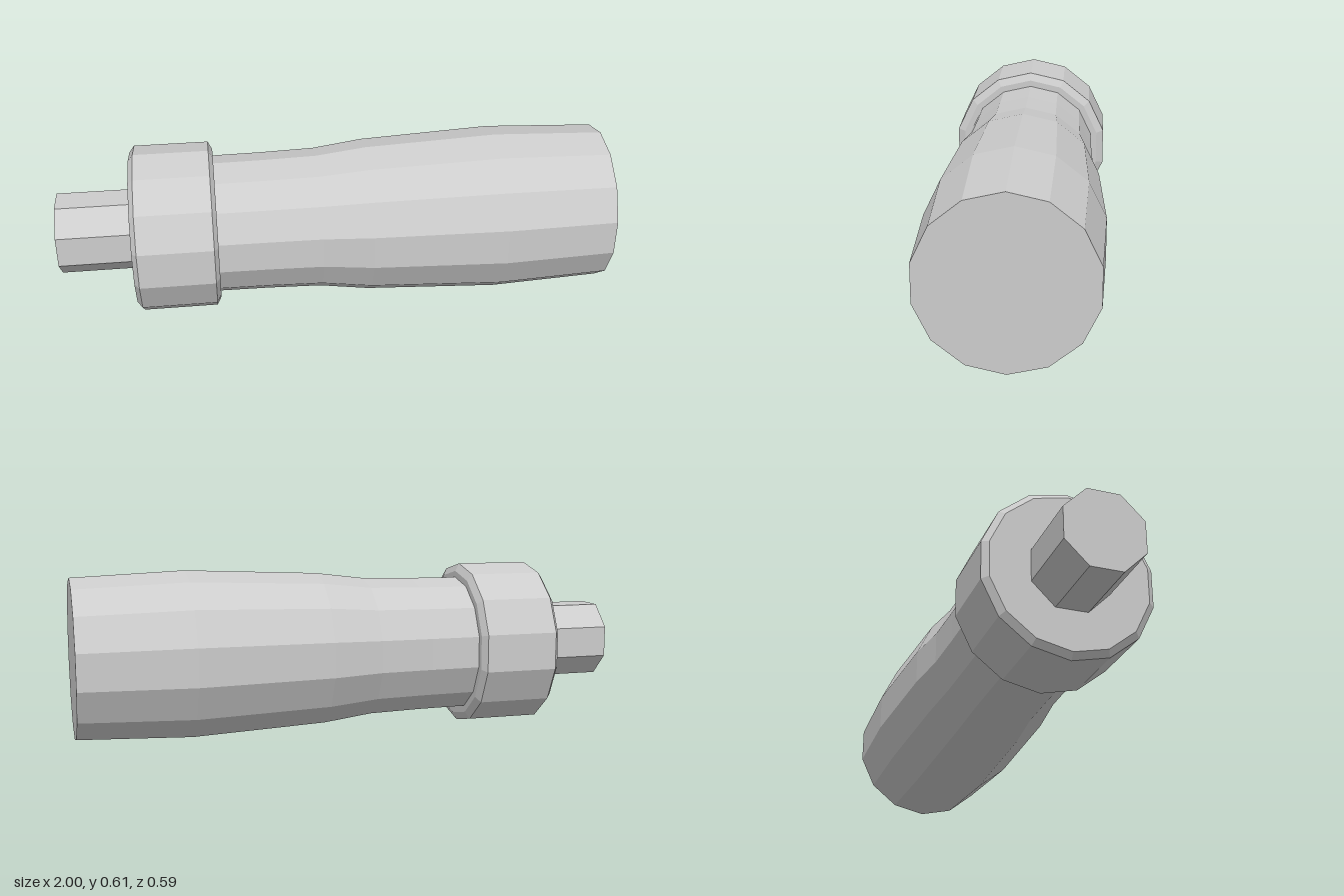
import * as THREE from 'three';

const AXIS_HEIGHT = 0.303;

// Faceted turned part along x; profile is [x, radius] from -x to +x, capped at both ends
function turned(name, profile, sides, phase, material) {
  const points = [
    [profile[0][0], 0],
    ...profile,
    [profile[profile.length - 1][0], 0],
  ].map(([x, r]) => new THREE.Vector2(r, x));
  const geometry = new THREE.LatheGeometry(points, sides, phase);
  geometry.rotateZ(-Math.PI / 2);
  const mesh = new THREE.Mesh(geometry, material);
  mesh.name = name;
  mesh.position.y = AXIS_HEIGHT;
  return mesh;
}

export function createModel() {
  const group = new THREE.Group();
  group.name = 'toolHandle';

  const grey = new THREE.MeshStandardMaterial({ color: 0xcccccc });
  grey.name = 'light grey';
  grey.flatShading = true;

  // Swelling grip
  group.add(turned('grip', [
    [-0.45, 0.251], [-0.25, 0.253], [-0.06, 0.258],
    [0.12, 0.281], [0.6, 0.303], [1, 0.287],
  ], 14, Math.PI / 2, grey));

  // Chamfered collar
  group.add(turned('collar', [
    [-0.73, 0.28], [-0.712, 0.303], [-0.445, 0.303], [-0.43, 0.275],
  ], 14, Math.PI / 2, grey));

  // Octagonal shank
  group.add(turned('shank', [[-1, 0.146], [-0.72, 0.146]], 8, Math.PI / 8, grey));

  return group;
}
